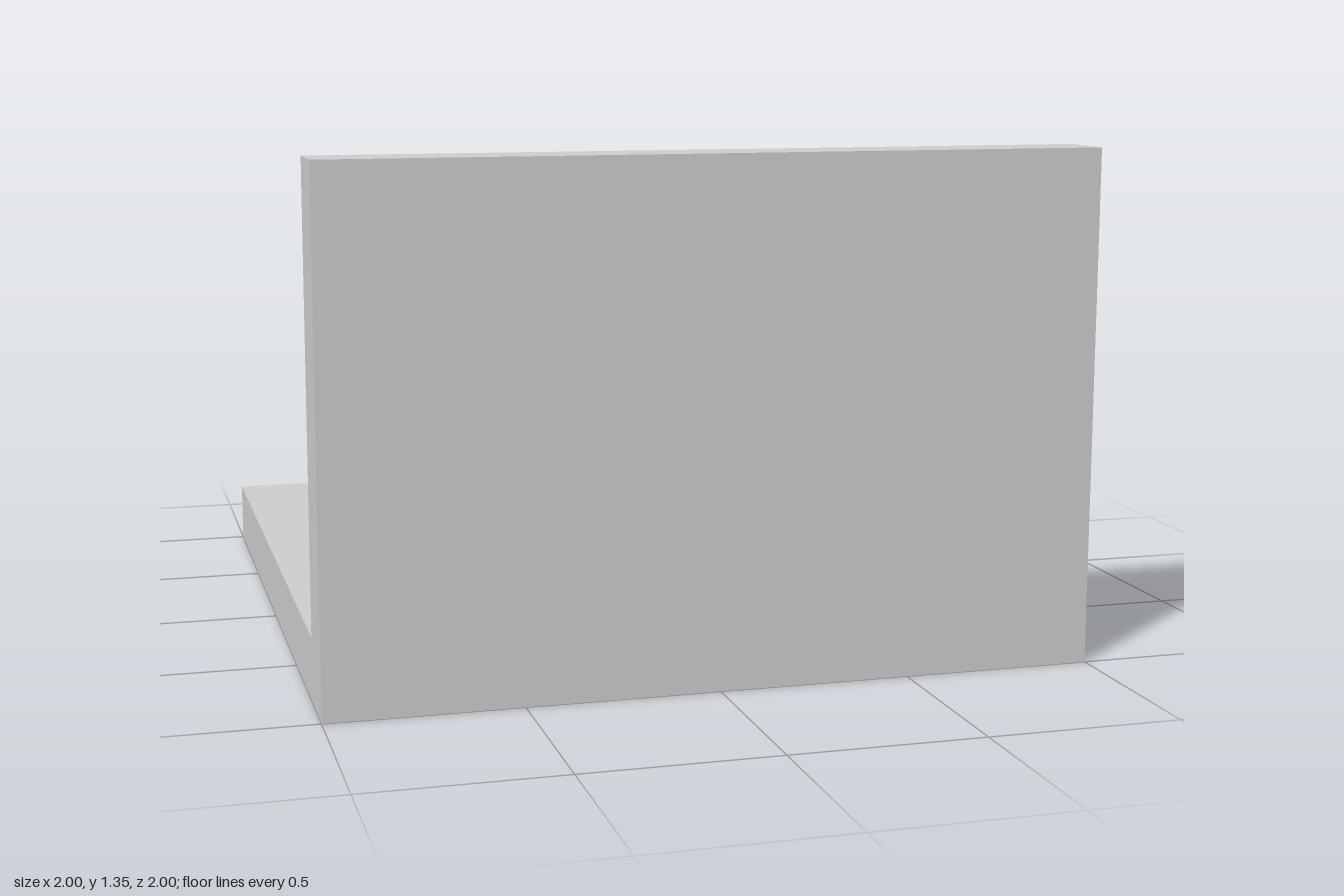
import * as THREE from 'three';

export function createModel() {
  const width = 2, depth = 2, height = 1.345, thickness = 0.167;
  const group = new THREE.Group();
  group.name = 'angleBracket';

  // L-shaped side profile: base plate with an upright wall along the front
  const front = -depth / 2, back = depth / 2;
  const profile = new THREE.Shape([
    [front, 0], [back, 0], [back, thickness],
    [front + thickness, thickness], [front + thickness, height], [front, height],
  ].map(([x, y]) => new THREE.Vector2(x, y)));

  // Extrude across the width, then turn the profile's -x to face +z
  const geometry = new THREE.ExtrudeGeometry(profile, { depth: width, bevelEnabled: false });
  geometry.translate(0, 0, -width / 2);
  geometry.rotateY(Math.PI / 2);

  const bracket = new THREE.Mesh(
    geometry,
    new THREE.MeshStandardMaterial({ color: 0xcccccc, flatShading: true }),
  );
  bracket.name = 'basePlateAndFrontWall';
  group.add(bracket);
  return group;
}
